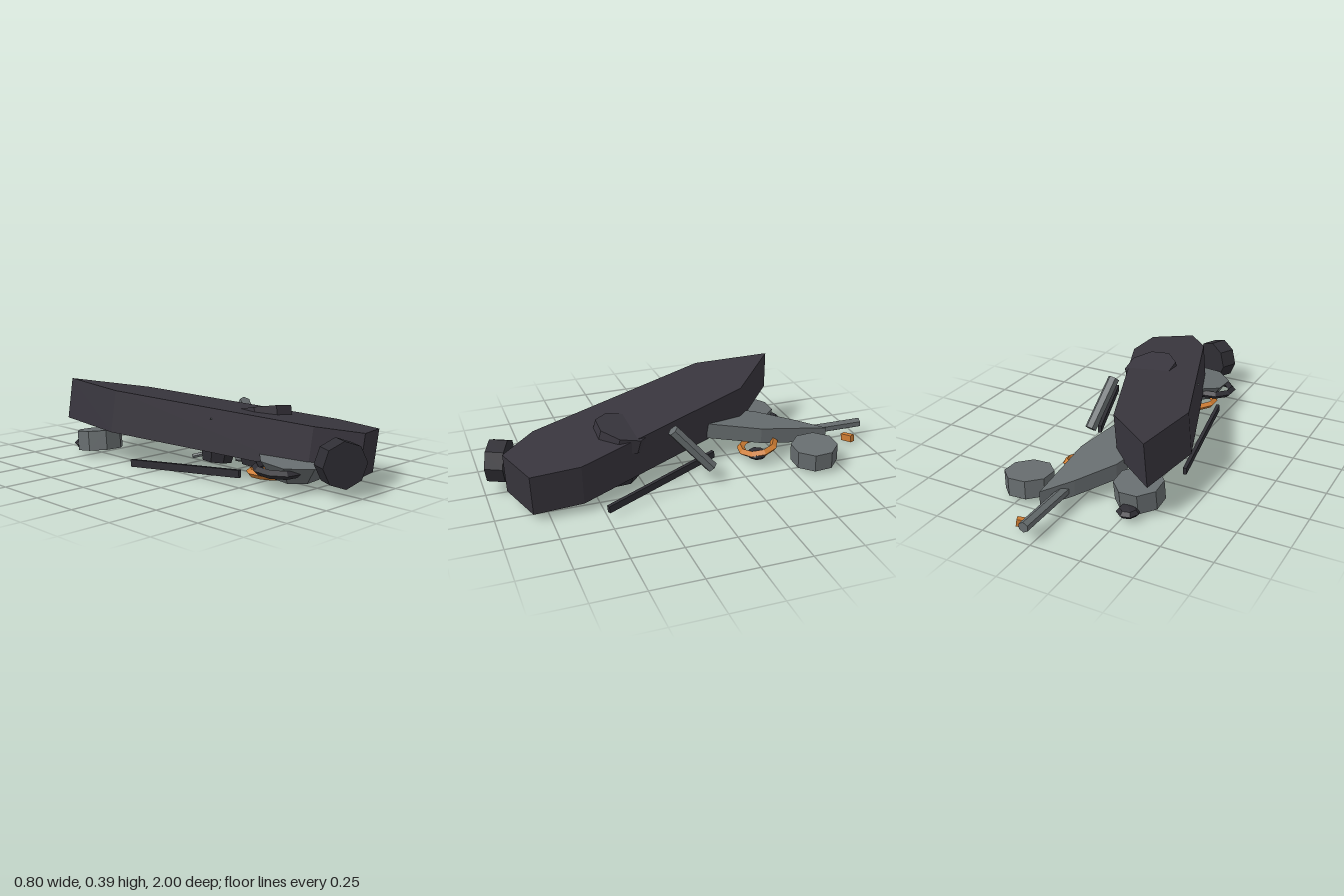
import * as THREE from 'three';

const mat = (name, color) => Object.assign(new THREE.MeshStandardMaterial({ color, flatShading: true }), { name });

export function createModel() {
  const model = new THREE.Group();
  model.name = 'scrapPile';
  const hull = mat('darkHull', 0x38353d);
  const dark = mat('darkRubber', 0x2f2e34);
  const steel = mat('greySteel', 0x676d6f);
  const orange = mat('orangeMetal', 0xcf7d33);
  const UP = new THREE.Vector3(0, 1, 0);

  const add = (name, geometry, material, pos = [0, 0, 0]) => {
    const mesh = new THREE.Mesh(geometry, material);
    mesh.name = name;
    mesh.position.set(...pos);
    model.add(mesh);
    return mesh;
  };

  // Sheared slab: an outline in x,z on a sloping top plane, extruded along "down"
  const slab = (name, material, outline, topY, down) => {
    const shape = new THREE.Shape(outline.map(([x, z]) => new THREE.Vector2(x, z)));
    const geo = new THREE.ExtrudeGeometry(shape, { depth: 1, bevelEnabled: false });
    const p = geo.attributes.position;
    for (let i = 0; i < p.count; i++) {
      const x = p.getX(i), z = p.getY(i), d = p.getZ(i);
      p.setXYZ(i, x + down[0] * d, topY(x, z) + down[1] * d, z + down[2] * d);
    }
    geo.computeVertexNormals();
    return add(name, geo, material);
  };

  // Faceted disc or drum around a given axis
  const disc = (name, material, pos, axis, rTop, rBottom, height, sides = 8, spin = Math.PI / 8) => {
    const geo = new THREE.CylinderGeometry(rTop, rBottom, height, sides).rotateY(spin);
    const mesh = add(name, geo, material, pos);
    mesh.quaternion.setFromUnitVectors(UP, new THREE.Vector3(...axis).normalize());
    return mesh;
  };

  // Six-sided rod between two points
  const rod = (name, material, a, b, r) => {
    const A = new THREE.Vector3(...a), B = new THREE.Vector3(...b);
    const mid = A.clone().add(B).multiplyScalar(0.5).toArray();
    return disc(name, material, mid, B.clone().sub(A).toArray(), r, r, A.distanceTo(B), 6, 0);
  };

  // Rectangular bar between two points
  const bar = (name, material, a, b, w, h) => {
    const A = new THREE.Vector3(...a), B = new THREE.Vector3(...b);
    const mesh = add(name, new THREE.BoxGeometry(w, h, A.distanceTo(B)), material,
      A.clone().add(B).multiplyScalar(0.5).toArray());
    mesh.lookAt(B);
    return mesh;
  };

  // Coarse ring with a tilted axis
  const ring = (name, material, pos, axis, r, tube) => {
    const geo = new THREE.TorusGeometry(r, tube, 4, 9).rotateX(Math.PI / 2);
    const mesh = add(name, geo, material, pos);
    mesh.quaternion.setFromUnitVectors(UP, new THREE.Vector3(...axis).normalize());
  };

  // Flattened faceted lump
  const lump = (name, pos, r, h) => {
    add(name, new THREE.SphereGeometry(r, 7, 4), dark, pos).scale.y = h / r;
  };

  // Main body
  slab('mainBody', hull,
    [[-0.346, -0.61], [-0.05, -0.34], [0.336, 0.60], [0.336, 0.84], [0.117, 0.92], [-0.03, 0.745], [-0.378, -0.215]],
    (x, z) => 0.398 - 0.117 * (x + 0.346) - 0.05 * (z + 0.61), [-0.024, -0.206, -0.011]);
  disc('topHatch', hull, [0.095, 0.275, 0.34], [0.11, 1, -0.23], 0.138, 0.138, 0.07);

  // Tail wedge and tail rod
  slab('tailWedge', steel,
    [[0.095, -0.77], [0.095, -0.40], [0.02, -0.13], [-0.10, -0.16], [-0.145, -0.41], [-0.13, -0.46], [-0.01, -0.64]],
    (x, z) => 0.215 + 0.145 * (z + 0.12), [0, -0.08, 0]);
  rod('tailRod', steel, [0.03, 0.087, -1], [0.03, 0.09, -0.52], 0.026);
  bar('tailBlock', orange, [0.06, 0.035, -0.895], [0.12, 0.045, -0.92], 0.028, 0.036);

  // Wheels and drums
  disc('frontWheel', dark, [-0.045, 0.157, 0.912], [-0.44, 0, 0.9], 0.108, 0.108, 0.09);
  disc('rightBackDrum', steel, [0.24, 0.075, -0.63], [0.05, 1, 0.05], 0.118, 0.118, 0.09);
  disc('leftBackDrum', steel, [-0.265, 0.083, -0.49], [0.03, 1, -0.12], 0.118, 0.118, 0.1);
  disc('frontDrum', steel, [-0.035, 0.095, 0.65], [-0.06, 1, 0.08], 0.178, 0.115, 0.09);
  disc('underDisc', dark, [0.07, 0.068, 0.37], [0.06, 1, 0.05], 0.138, 0.12, 0.055);
  disc('underWheel', dark, [-0.085, 0.09, 0.2], [0.1, 1, 0.05], 0.09, 0.075, 0.07);

  // Loose rods and side bars
  rod('sideRod', steel, [0.2, 0.3, 0.115], [0.235, 0.085, -0.075], 0.03);
  rod('underRod', steel, [0.12, 0.045, 0.31], [0.03, 0.045, 0.21], 0.013);
  rod('smallUnderRod', steel, [-0.13, 0.06, 0.07], [-0.08, 0.08, 0.13], 0.012);
  bar('leftBar', dark, [-0.335, 0.023, -0.15], [-0.235, 0.066, 0.49], 0.018, 0.036);
  bar('rightBar', dark, [0.16, 0.115, -0.11], [0.39, 0.045, 0.495], 0.018, 0.036);
  disc('sideSpike', steel, [-0.195, 0.285, 0.27], [-0.85, 0.1, 0.4], 0, 0.024, 0.05, 3, 0);

  // Rings and lumps
  ring('backRing', orange, [0.085, 0.078, -0.385], [0, 1, 0.2], 0.088, 0.02);
  ring('frontOrangeRing', orange, [-0.1, 0.055, 0.54], [0.1, 1, 0], 0.085, 0.018);
  ring('frontDarkRing', dark, [-0.14, 0.1, 0.64], [0, 1, 0.05], 0.105, 0.02);
  lump('backLump', [0.135, 0.06, -0.36], 0.055, 0.025);
  lump('leftLump', [-0.272, 0.04, -0.615], 0.056, 0.025);

  return model;
}
